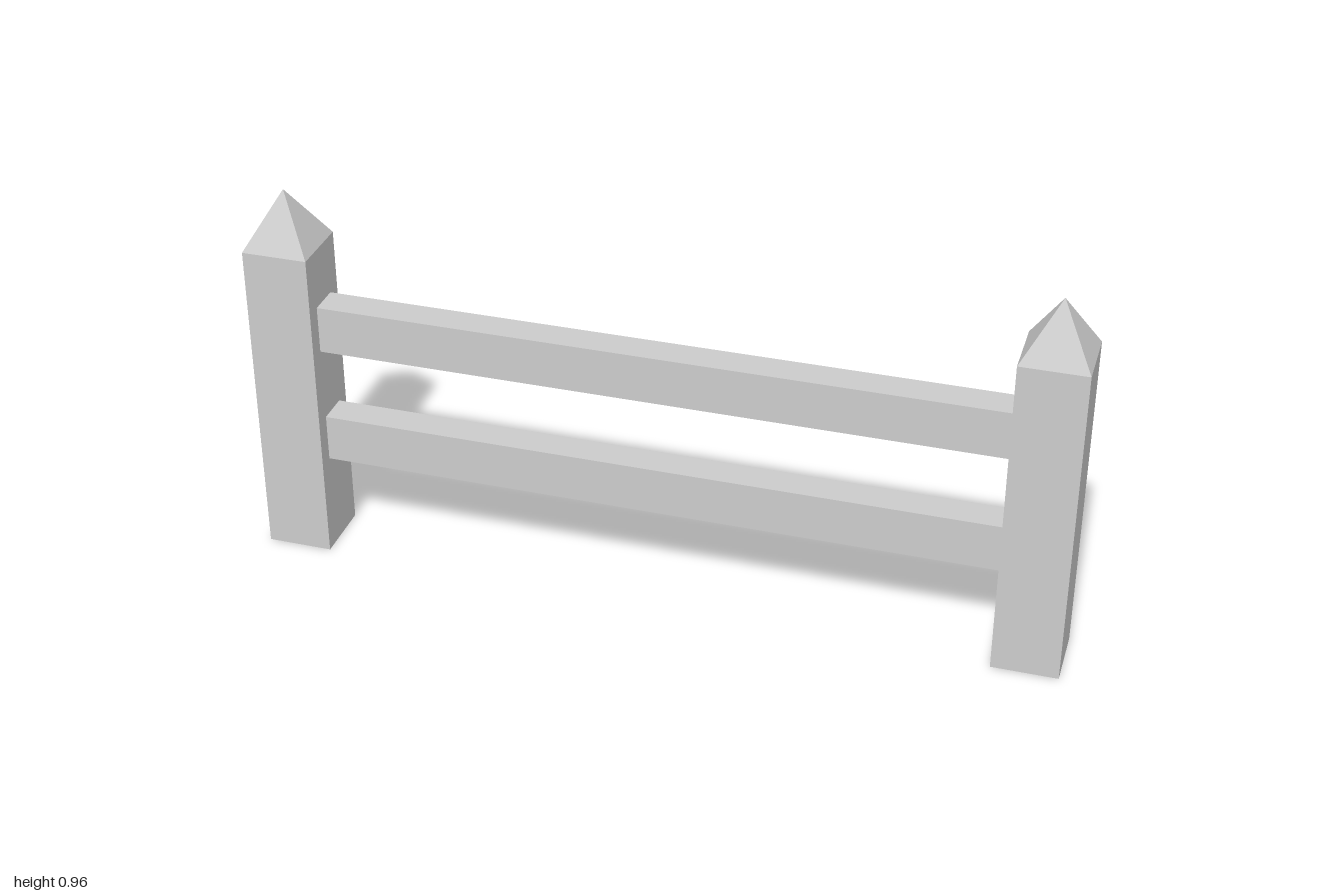
import * as THREE from 'three';

const POST_W = 0.162, POST_H = 0.817, CAP_H = 0.14;
const POST_X = 1 - POST_W / 2;
const RAIL_H = 0.12, RAIL_D = 0.082;

export function createModel() {
  const model = new THREE.Group();
  model.name = 'fence';
  const grey = new THREE.MeshStandardMaterial({ color: 0xcccccc, flatShading: true });
  grey.name = 'plain grey';

  const add = (name, geometry, x, y) => {
    const mesh = new THREE.Mesh(geometry, grey);
    mesh.name = name;
    mesh.position.set(x, y, 0);
    model.add(mesh);
  };

  // Square posts with pyramid caps
  const postGeo = new THREE.BoxGeometry(POST_W, POST_H, POST_W);
  const capGeo = new THREE.ConeGeometry(POST_W / Math.SQRT2, CAP_H, 4, 1, true).rotateY(Math.PI / 4);
  for (const [side, s] of [['left', 1], ['right', -1]]) {
    add(side + 'Post', postGeo, s * POST_X, POST_H / 2);
    add(side + 'PostCap', capGeo, s * POST_X, POST_H + CAP_H / 2);
  }

  // Two horizontal rails, ending at the inner faces of the posts
  const railGeo = new THREE.BoxGeometry(2 - 2 * POST_W, RAIL_H, RAIL_D);
  add('lowerRail', railGeo, 0, 0.308);
  add('upperRail', railGeo, 0, 0.613);

  return model;
}
